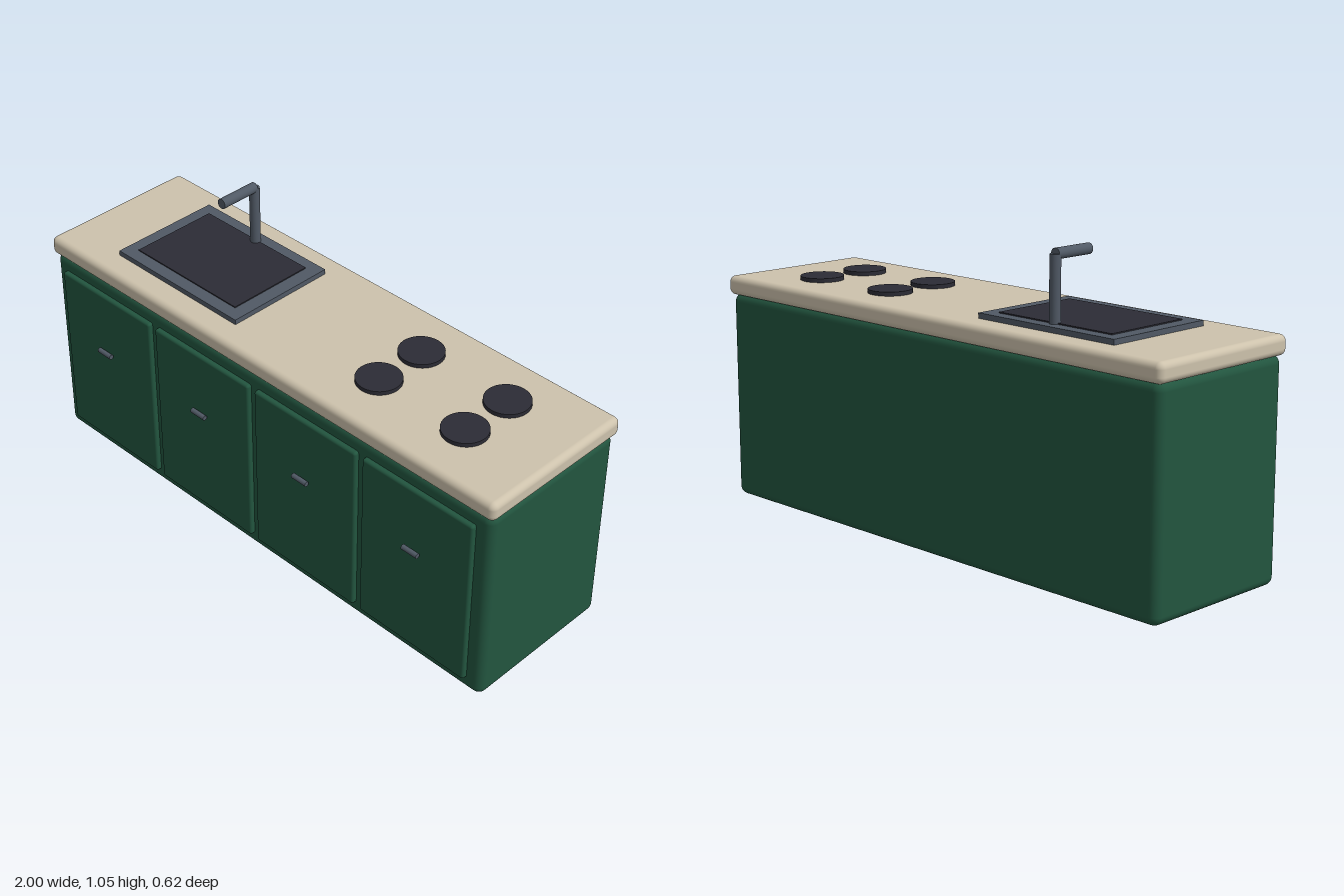
import * as THREE from 'three';
import { RoundedBoxGeometry } from 'three/addons/geometries/RoundedBoxGeometry.js';

const material = (name, color) => {
  const m = new THREE.MeshStandardMaterial({ color });
  m.name = name;
  return m;
};

export function createModel() {
  const green = material('cabinet green', 0x22553f);
  const stone = material('worktop beige', 0xcdc2ac);
  const steel = material('steel grey', 0x505965);
  const dark = material('dark grey', 0x2c2c35);

  const model = new THREE.Group();
  model.name = 'kitchenCounter';

  const add = (name, geometry, mat, x, y, z) => {
    const mesh = new THREE.Mesh(geometry, mat);
    mesh.name = name;
    mesh.position.set(x, y, z);
    model.add(mesh);
    return mesh;
  };

  // Box given by its min and max corners, rounded when a radius is set
  const box = (name, mat, [x0, y0, z0], [x1, y1, z1], radius = 0) => {
    const size = [x1 - x0, y1 - y0, z1 - z0];
    const geometry = radius
      ? new RoundedBoxGeometry(...size, 4, radius)
      : new THREE.BoxGeometry(...size);
    return add(name, geometry, mat, (x0 + x1) / 2, (y0 + y1) / 2, (z0 + z1) / 2);
  };

  // Cabinet and worktop
  box('cabinet', green, [-0.99, 0, -0.3], [0.99, 0.735, 0.27], 0.03);
  box('worktop', stone, [-1, 0.73, -0.31], [1, 0.797, 0.28], 0.022);

  // Four doors, each with a small bar handle
  for (let i = 0; i < 4; i++) {
    const x = -0.715 + i * 0.475;
    box('door', green, [x - 0.223, 0.053, 0.25], [x + 0.223, 0.684, 0.288], 0.009);
    const handle = add('handle', new THREE.CylinderGeometry(0.009, 0.009, 0.062, 16), steel, x, 0.459, 0.304);
    handle.rotation.z = Math.PI / 2;
  }

  // Sink rim and basin
  box('sinkRim', steel, [-0.744, 0.79, -0.222], [-0.174, 0.815, 0.188]);
  box('sinkBasin', dark, [-0.698, 0.81, -0.18], [-0.224, 0.819, 0.142]);

  // Tap: upright pipe and forward spout
  add('tapPipe', new THREE.CylinderGeometry(0.018, 0.018, 0.215, 24), steel, -0.461, 0.9225, -0.176);
  const spout = add('tapSpout', new THREE.CylinderGeometry(0.018, 0.018, 0.149, 24), steel, -0.461, 1.03, -0.1015);
  spout.rotation.x = Math.PI / 2;

  // Hob plates
  for (const x of [0.355, 0.71]) {
    for (const z of [-0.119, 0.076]) {
      add('hobPlate', new THREE.CylinderGeometry(0.076, 0.076, 0.02, 32), dark, x, 0.801, z);
    }
  }

  return model;
}
